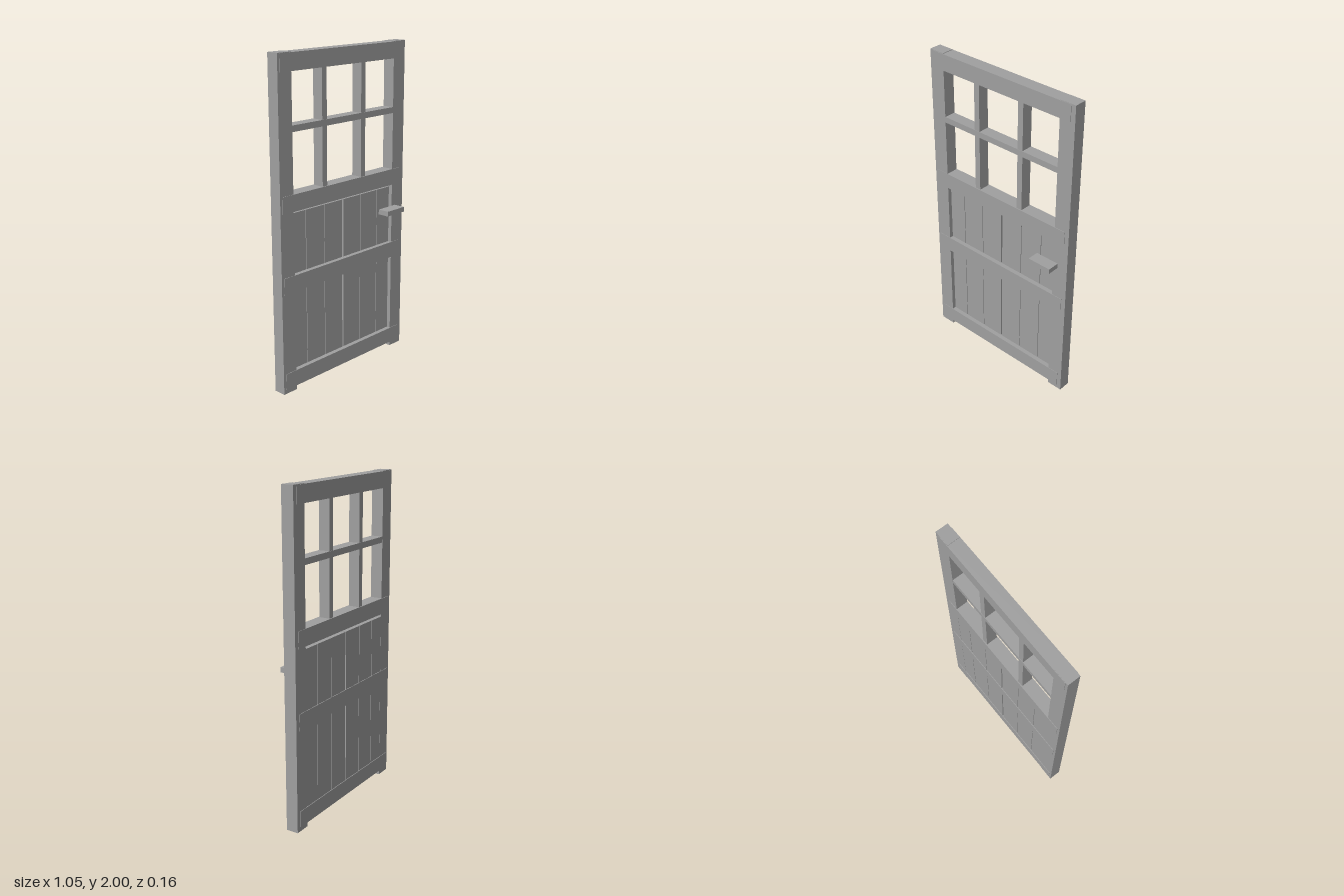
import * as THREE from 'three';

export function createModel() {
  const door = new THREE.Group();
  door.name = 'door';
  const grey = new THREE.MeshStandardMaterial({ color: 0xa0a0a0 });
  grey.name = 'plain grey';

  // Box given by its limits on each axis
  function box(name, [x0, x1], [y0, y1], [z0, z1]) {
    const mesh = new THREE.Mesh(new THREE.BoxGeometry(x1 - x0, y1 - y0, z1 - z0), grey);
    mesh.position.set((x0 + x1) / 2, (y0 + y1) / 2, (z0 + z1) / 2);
    mesh.name = name;
    door.add(mesh);
  }

  // Upright stiles
  const frameDepth = [-0.077, 0];
  box('rightStile', [-0.527, -0.426], [0, 2], frameDepth);
  box('leftStile', [0.424, 0.525], [0, 2], frameDepth);

  // Cross rails, slightly proud of the stiles on both faces
  const rails = {
    bottomRail: [0.027, 0.127], middleRail: [0.625, 0.726],
    lockRail: [1.107, 1.208], topRail: [1.896, 1.997],
  };
  for (const [name, span] of Object.entries(rails)) {
    box(name, [-0.51, 0.496], span, [-0.08, 0.003]);
  }

  // Glazing bars of the six open panes
  const barDepth = [-0.074, -0.003];
  box('verticalBar', [-0.19, -0.153], [1.2, 1.9], barDepth);
  box('verticalBar', [0.136, 0.173], [1.2, 1.9], barDepth);
  box('horizontalBar', [-0.43, 0.428], [1.562, 1.599], [-0.076, -0.001]);

  // Planks set back at the front, with narrow open joints
  const joints = [-0.46, -0.309, -0.157, 0, 0.157, 0.309, 0.46];
  const halfGaps = [0, 0.002, 0.002, 0.005, 0.002, 0.002, 0];
  for (let i = 0; i < 6; i++) {
    box('plank', [joints[i] + halfGaps[i], joints[i + 1] - halfGaps[i + 1]], [0.1, 1.09], [-0.076, -0.025]);
  }

  // Handle block
  box('handle', [0.301, 0.456], [0.937, 0.968], [0, 0.075]);
  return door;
}
